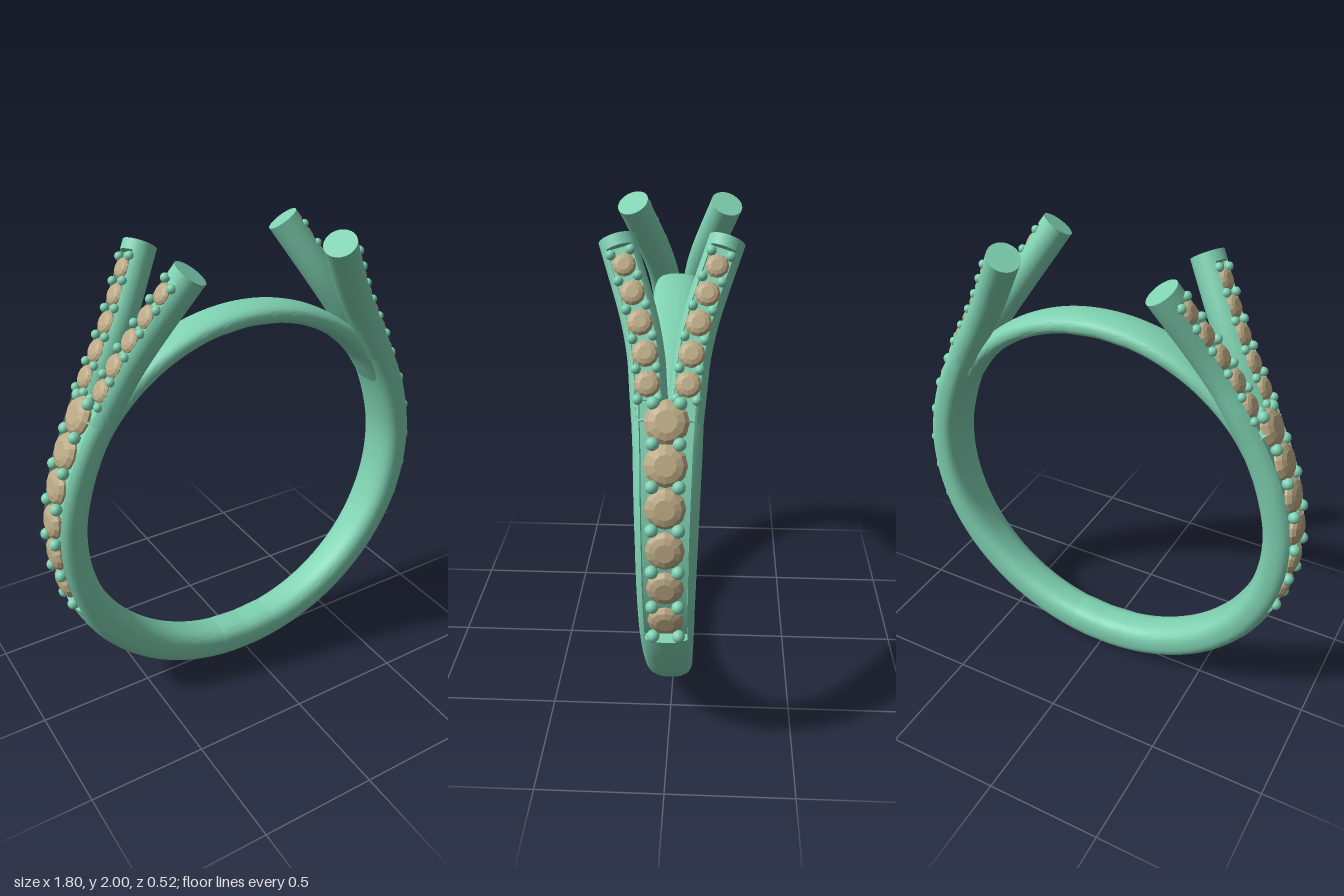
import * as THREE from 'three';
import { toCreasedNormals } from 'three/addons/utils/BufferGeometryUtils.js';

const metal = new THREE.MeshStandardMaterial({ color: 0x7fd2b2 });
const stone = new THREE.MeshStandardMaterial({ color: 0xbcaa85, flatShading: true });
const V = (x, y, z = 0) => new THREE.Vector3(x, y, z);
const UP = V(0, 1, 0);
const CY = 0.895; // height of the finger hole's centre

// Position and axes on a path: T along it, B across the band, N outward
function frame(curve, t) {
  const P = curve.getPoint(t), T = curve.getTangent(t);
  const B = V(0, 0, 1).addScaledVector(T, -T.z).normalize();
  return { P, T, B, N: T.clone().cross(B) };
}

// Path parameter at a given height
function tAt(curve, y) {
  let lo = 0.12, hi = 1;
  if (curve.getPoint(lo).y > y) lo = 0;
  for (let i = 0; i < 30; i++) {
    const m = (lo + hi) / 2;
    if (curve.getPoint(m).y < y) lo = m; else hi = m;
  }
  return lo;
}

// Linear interpolation through [key, value] pairs
function ramp(pairs, x) {
  if (x <= pairs[0][0]) return pairs[0][1];
  for (let i = 1; i < pairs.length; i++) {
    const [x0, v0] = pairs[i - 1], [x1, v1] = pairs[i];
    if (x <= x1) return v0 + (v1 - v0) * (x - x0) / (x1 - x0);
  }
  return pairs[pairs.length - 1][1];
}

// Superellipse section (half width w, half thickness a), optionally with a channel in its outer face
function section(w, a, p, channel, floor, cut) {
  const gw = w * channel, pts = [], M = 28;
  const height = (b) => a * Math.pow(1 - Math.pow(Math.min(1, Math.abs(b) / w), p), 1 / p);
  const c0 = Math.acos(Math.pow(channel, p / 2));
  for (let i = 0; i <= M; i++) {
    const th = Math.PI - c0 + (Math.PI + 2 * c0) * i / M;
    const c = Math.cos(th), s = Math.sin(th);
    pts.push([w * Math.sign(c) * Math.abs(c) ** (2 / p), a * Math.sign(s) * Math.abs(s) ** (2 / p)]);
  }
  for (const k of [0.98, 0.6, 0.2, -0.2, -0.6, -0.98]) pts.push([gw * k, cut ? floor : height(gw * k)]);
  return pts;
}

// Sweep sections along a path, capped at both ends; the channel runs between heights g0 and g1
function sweep(curve, { t1 = 1, n = 40, w, a, p = 2, channel = 0.7, floor = 0, g0 = 9, g1 = 9 }) {
  const rings = [];
  const ta = g0 < 9 ? tAt(curve, g0) : 9, tb = g1 < 9 ? tAt(curve, g1) : 9;
  for (let i = 0; i <= n; i++) {
    const t = t1 * i / n;
    rings.push([t, t > ta && t < tb]);
  }
  if (ta > 0.001 && ta < t1) rings.push([ta, false], [ta + 1e-5, true]);
  if (tb < t1) rings.push([tb, true], [tb + 1e-5, false]);
  rings.sort((q, r) => q[0] - r[0]);
  const pos = [], idx = [];
  let K = 0;
  const centres = [];
  for (const [t, cut] of rings) {
    const { P, N, B } = frame(curve, t);
    const s = section(w(P.y), a(P.y), p, channel, floor, cut);
    K = s.length;
    centres.push(P);
    for (const [b, h] of s) pos.push(...P.clone().addScaledVector(B, b).addScaledVector(N, h).toArray());
  }
  const R = rings.length, first = R * K, last = first + 1;
  pos.push(...centres[0].toArray(), ...centres[R - 1].toArray());
  for (let j = 0; j < K; j++) {
    const k = (j + 1) % K;
    for (let i = 0; i < R - 1; i++) {
      const q = i * K, r = q + K;
      idx.push(q + j, q + k, r + j, q + k, r + k, r + j);
    }
    idx.push(first, k, j, last, (R - 1) * K + j, (R - 1) * K + k);
  }
  const g = new THREE.BufferGeometry();
  g.setAttribute('position', new THREE.Float32BufferAttribute(pos, 3));
  g.setIndex(idx);
  return toCreasedNormals(g, 0.6);
}

function add(parent, name, geometry, material) {
  const m = new THREE.Mesh(geometry, material);
  m.name = name;
  parent.add(m);
  return m;
}

const gemGeo = new THREE.LatheGeometry(
  [[0, -0.5], [1, -0.06], [1, 0.06], [0.82, 0.26], [0.5, 0.38], [0, 0.38]].map(([x, y]) => new THREE.Vector2(x, y)), 12);
const beadGeo = new THREE.SphereGeometry(1, 14, 10);

// Faceted gems down the middle of a channel
function setGems(parent, curve, list, lift) {
  for (const [y, r] of list) {
    const { P, N } = frame(curve, tAt(curve, y));
    const gem = add(parent, 'gem', gemGeo, stone);
    gem.position.copy(P).addScaledVector(N, lift);
    gem.quaternion.setFromUnitVectors(UP, N);
    gem.scale.setScalar(r);
  }
}

// Pairs of holding beads between the gems
function setBeads(parent, curve, ys, side, lift, r) {
  for (const y of ys) {
    const { P, N, B } = frame(curve, tAt(curve, y));
    for (const s of [-1, 1]) {
      const bead = add(parent, 'bead', beadGeo, metal);
      bead.position.copy(P).addScaledVector(N, lift).addScaledVector(B, s * side);
      bead.scale.setScalar(r);
    }
  }
}

function buildHalf() {
  const half = new THREE.Group();
  half.name = 'ringHalf';

  // Shank: round at the bottom, then leaning in toward the split
  const pts = [];
  for (let d = -100; d <= 20; d += 15) {
    const q = d * Math.PI / 180, r = 0.81 + 0.0075 * Math.max(0, -Math.sin(q));
    pts.push(V(r * Math.cos(q), CY + r * Math.sin(q)));
  }
  pts.push(V(0.70, 1.32), V(0.62, 1.47), V(0.47, 1.72), V(0.325, 1.96));
  const shank = new THREE.CatmullRomCurve3(pts);
  add(half, 'shank', sweep(shank, {
    t1: tAt(shank, 1.46), n: 70, p: 2.7, channel: 0.77, floor: 0.03, g0: 0.6,
    w: (y) => ramp([[0.08, 0.085], [0.6, 0.103], [1, 0.109], [1.3, 0.119], [1.46, 0.13]], y),
    a: (y) => ramp([[0.08, 0.0775], [0.6, 0.071], [1.2, 0.071], [1.46, 0.066]], y),
  }), metal);
  setGems(half, shank, [[0.7, 0.066], [0.845, 0.068], [0.988, 0.07], [1.13, 0.073], [1.265, 0.077], [1.395, 0.08]], 0.052);
  setBeads(half, shank, [0.63, 0.773, 0.915, 1.06, 1.2, 1.33, 1.45], 0.047, 0.064, 0.024);

  // Two split arms with their own channels
  for (const s of [-1, 1]) {
    const arm = new THREE.Group();
    arm.name = s > 0 ? 'frontArm' : 'backArm';
    half.add(arm);
    const path = new THREE.CatmullRomCurve3([
      V(0.66, 1.4, s * 0.06), V(0.605, 1.5, s * 0.07), V(0.545, 1.6, s * 0.081),
      V(0.47, 1.72, s * 0.11), V(0.325, 1.96, s * 0.197)]);
    add(arm, 'armBar', sweep(path, {
      w: () => 0.067, a: () => 0.067, channel: 0.66, floor: 0.03, g0: 1.3, g1: 1.925,
    }), metal);
    setGems(arm, path, [[1.51, 0.047], [1.6, 0.048], [1.693, 0.047], [1.783, 0.045], [1.868, 0.042]], 0.048);
    setBeads(arm, path, [1.465, 1.555, 1.647, 1.738, 1.826, 1.905], 0.036, 0.052, 0.018);
  }

  // Bridge closing the circle under the open top
  const arc = [];
  for (let d = 28; d <= 100; d += 12) {
    const q = d * Math.PI / 180;
    arc.push(V(0.783 * Math.cos(q), CY + 0.783 * Math.sin(q)));
  }
  add(half, 'bridge', sweep(new THREE.CatmullRomCurve3(arc), {
    w: () => 0.086, a: () => 0.042, p: 2.5,
  }), metal);
  return half;
}

export function createModel() {
  const ring = new THREE.Group();
  ring.name = 'splitShankRing';
  const left = buildHalf(), right = buildHalf();
  right.rotation.y = Math.PI;
  ring.add(left, right);
  return ring;
}
